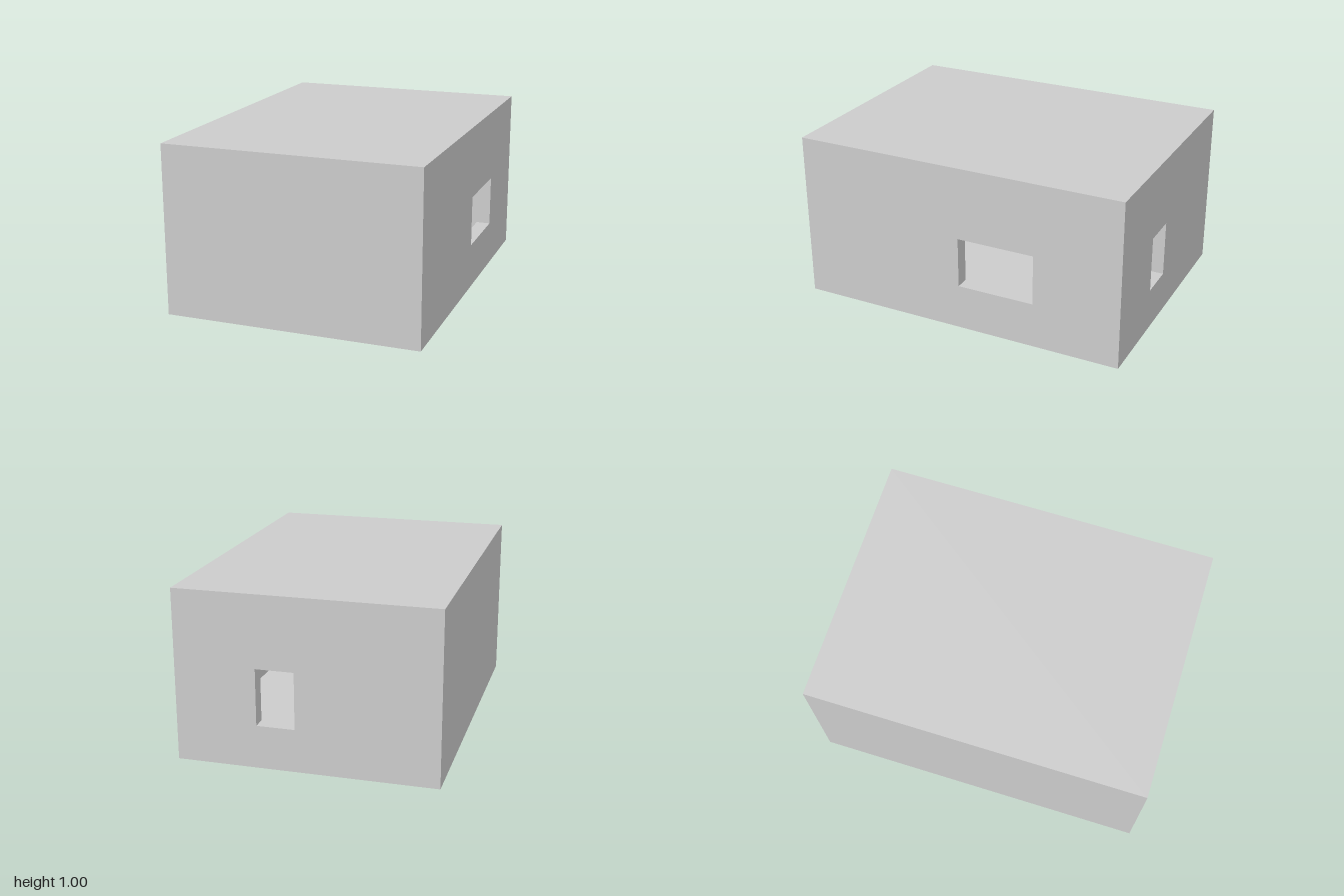
import * as THREE from 'three';

const W = 1.5, D = 2, H = 1, T = 0.083; // width, depth, height, thickness
const material = new THREE.MeshStandardMaterial({ color: 0xcccccc, flatShading: true });

// Slab from y0 to y1, outer face at z = T, inner outline mitred to meet its neighbours
function panel(name, w, y0, y1, mitreBottom, opening) {
  const rect = (Type, x0, b, x1, t) => new Type([[x0, b], [x1, b], [x1, t], [x0, t]]
    .map(([x, y]) => new THREE.Vector2(x, y)));
  const shape = rect(THREE.Shape, -w / 2, y0, w / 2, y1);
  if (opening) shape.holes.push(rect(THREE.Path, ...opening));
  const geo = new THREE.ExtrudeGeometry(shape, { depth: T, bevelEnabled: false });
  const p = geo.attributes.position;
  const same = (a, b) => Math.abs(a - b) < 1e-5;
  for (let i = 0; i < p.count; i++) {
    if (p.getZ(i) > T / 2) continue;
    const x = p.getX(i), y = p.getY(i);
    if (same(Math.abs(x), w / 2)) p.setX(i, x - Math.sign(x) * T);
    if (same(y, y1)) p.setY(i, y - T);
    if (mitreBottom && same(y, y0)) p.setY(i, y + T);
  }
  geo.computeVertexNormals();
  const mesh = new THREE.Mesh(geo, material);
  mesh.name = name;
  return mesh;
}

export function createModel() {
  const model = new THREE.Group();
  model.name = 'house';

  // Floor slab
  const floor = new THREE.Mesh(new THREE.BoxGeometry(W, T, D), material);
  floor.name = 'floor';
  floor.position.y = T / 2;
  model.add(floor);

  // Four walls: name, width, distance from centre, turn, opening [x0, y0, x1, y1]
  const walls = [
    ['frontWall', W, D / 2, 0, null],
    ['leftWall', D, W / 2, Math.PI / 2, [0.017, 0.27, 0.483, 0.57]],
    ['backWall', W, D / 2, Math.PI, [-0.28, 0.25, -0.06, 0.58]],
    ['rightWall', D, W / 2, -Math.PI / 2, null],
  ];
  for (const [name, w, dist, turn, opening] of walls) {
    const wall = panel(name, w, T, H, false, opening);
    wall.rotation.y = turn;
    wall.position.set(Math.sin(turn) * (dist - T), 0, Math.cos(turn) * (dist - T));
    model.add(wall);
  }

  // Flat roof
  const roof = panel('roof', W, -D / 2, D / 2, true, null);
  roof.rotation.x = -Math.PI / 2;
  roof.position.y = H - T;
  model.add(roof);

  return model;
}
